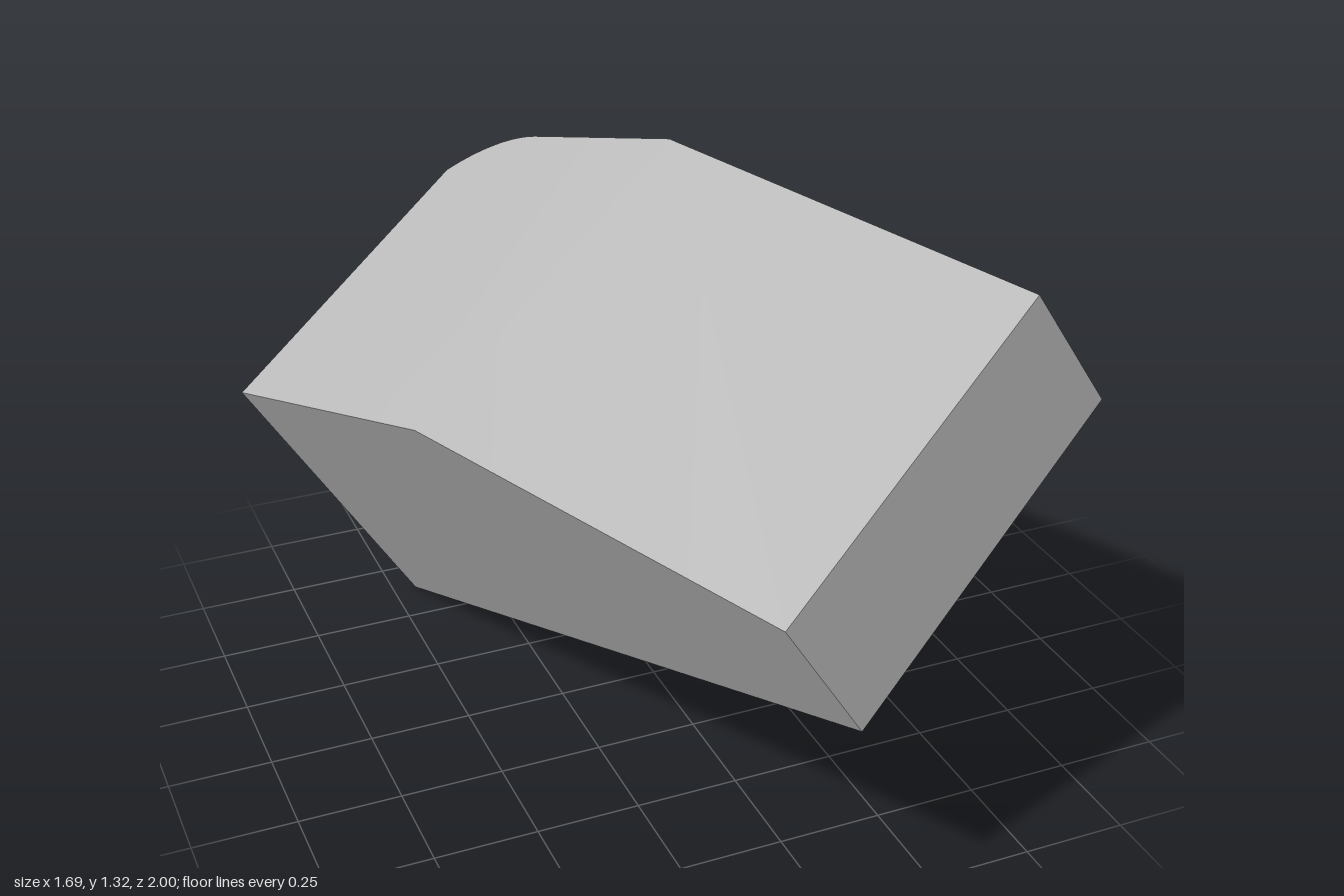
import * as THREE from 'three';
import { toCreasedNormals } from 'three/addons/utils/BufferGeometryUtils.js';

const WIDTH = 0.977, LENGTH = 1.767;
const REAR_HEIGHT = 0.77, FRONT_HEIGHT = 0.331, SLOPE_START = 0.83;
const ROUND_LENGTH = 0.27, ROUND_RADIUS = 0.332, ROUND_STEPS = 20;

// Width along the block: one rear corner is rounded by an arc tangent to the side.
function widthAt(z) {
  const t = Math.max(0, ROUND_LENGTH - z);
  return WIDTH - ROUND_RADIUS + Math.sqrt(ROUND_RADIUS ** 2 - t * t);
}

// Height along the block: level at the rear, sloping down to the front.
function heightAt(z) {
  const t = Math.max(0, (z - SLOPE_START) / (LENGTH - SLOPE_START));
  return THREE.MathUtils.lerp(REAR_HEIGHT, FRONT_HEIGHT, t);
}

// Joins rectangular cross-sections along z and closes both ends.
function blockGeometry() {
  const maxAngle = Math.asin(ROUND_LENGTH / ROUND_RADIUS);
  const stations = [];
  for (let i = 0; i <= ROUND_STEPS; i++) {
    stations.push(ROUND_LENGTH - ROUND_RADIUS * Math.sin(maxAngle * (1 - i / ROUND_STEPS)));
  }
  stations.push(SLOPE_START, LENGTH);

  const positions = [], index = [];
  stations.forEach((z, i) => {
    const w = widthAt(z), h = heightAt(z);
    positions.push(0, 0, z, w, 0, z, w, h, z, 0, h, z);
    if (i === 0) return;
    const p = (i - 1) * 4, q = i * 4;
    for (let k = 0; k < 4; k++) {
      const n = (k + 1) % 4;
      index.push(p + k, p + n, q + n, p + k, q + n, q + k);
    }
  });
  const e = (stations.length - 1) * 4;
  index.push(0, 2, 1, 0, 3, 2, e, e + 1, e + 2, e, e + 2, e + 3);

  const geometry = new THREE.BufferGeometry();
  geometry.setAttribute('position', new THREE.Float32BufferAttribute(positions, 3));
  geometry.setIndex(index);
  return toCreasedNormals(geometry, 0.55);
}

export function createModel() {
  const group = new THREE.Group();
  group.name = 'tiltedBlock';

  const grey = new THREE.MeshStandardMaterial({ color: 0xb8b8b8 });
  grey.name = 'grey';

  // The block stands balanced on one corner.
  const lengthAxis = new THREE.Vector3(0.28, 0.2575, 0.925).normalize();
  const widthAxis = new THREE.Vector3(0.798, 0.473, -0.37).normalize();
  const heightAxis = new THREE.Vector3().crossVectors(lengthAxis, widthAxis).normalize();
  widthAxis.crossVectors(heightAxis, lengthAxis);

  const block = new THREE.Mesh(blockGeometry(), grey);
  block.name = 'wedgeBlock';
  block.quaternion.setFromRotationMatrix(
    new THREE.Matrix4().makeBasis(widthAxis, heightAxis, lengthAxis));
  block.position.set(-0.44, 0, -0.635);
  group.add(block);
  return group;
}
